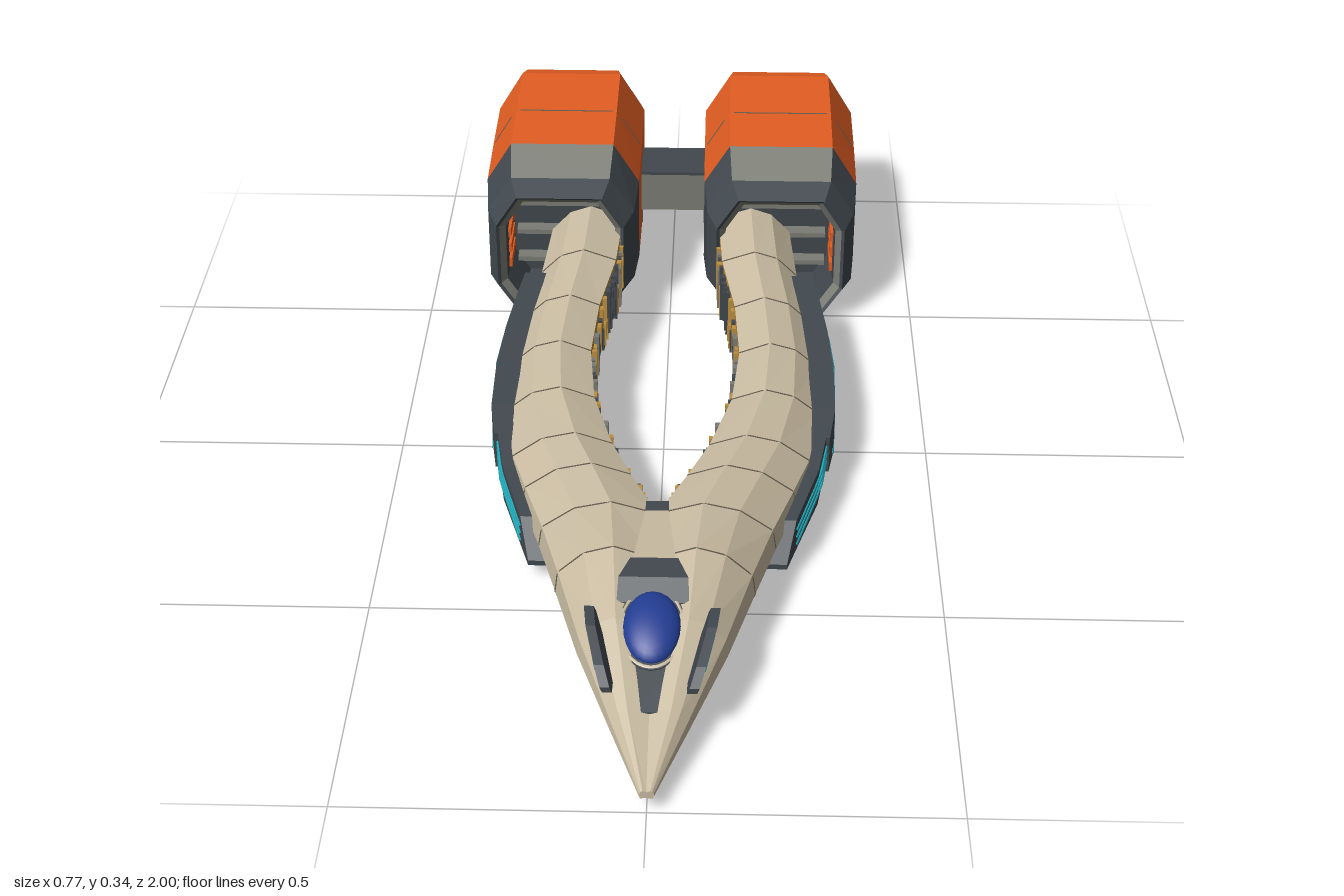
import * as THREE from 'three';

const mat = (name, color, extra = {}) => {
  const m = new THREE.MeshStandardMaterial({ color, ...extra });
  m.name = name;
  return m;
};

// Skin closed cross-sections, listed front to back and anticlockwise seen from +z.
function loft(sections, pick = () => 0) {
  const buckets = [];
  const tri = (k, ...pts) => (buckets[k] ??= []).push(...pts.flat());
  const n = sections[0].length;
  for (let s = 0; s < sections.length - 1; s++) {
    for (let j = 0; j < n; j++) {
      const k = pick(s, j), q = (j + 1) % n;
      const [a, b, c, d] = [sections[s][j], sections[s][q], sections[s + 1][j], sections[s + 1][q]];
      tri(k, a, c, b);
      tri(k, b, c, d);
    }
  }
  const first = sections[0], last = sections[sections.length - 1];
  for (let j = 1; j < n - 1; j++) {
    tri(0, first[0], first[j], first[j + 1]);
    tri(0, last[0], last[j + 1], last[j]);
  }
  const geo = new THREE.BufferGeometry(), all = [];
  buckets.forEach((list, k) => {
    geo.addGroup(all.length / 3, list.length / 3, k);
    for (const v of list) all.push(v);
  });
  geo.setAttribute('position', new THREE.Float32BufferAttribute(all, 3));
  geo.computeVertexNormals();
  return geo;
}

// Mirror across x = 0, turning every triangle so that it still faces outward.
function mirrored(geo) {
  const g = geo.index ? geo.toNonIndexed() : geo.clone();
  g.scale(-1, 1, 1);
  for (const a of Object.values(g.attributes)) {
    for (let i = 0; i < a.count; i += 3) {
      for (let c = 0; c < a.itemSize; c++) {
        const t = a.getComponent(i + 1, c);
        a.setComponent(i + 1, c, a.getComponent(i + 2, c));
        a.setComponent(i + 2, c, t);
      }
    }
  }
  return g;
}

const rect = (z, x0, x1, y0, y1) => [[x0, y0, z], [x1, y0, z], [x1, y1, z], [x0, y1, z]];
const box = (w, h, d, x, y, z) => new THREE.BoxGeometry(w, h, d).translate(x, y, z);

// Hull stations: z, inner x, ridge x, outer x, bottom y, top y
const STATIONS = [
  [1, 0, 0.006, 0.012, 0.03, 0.045], [0.86, 0, 0.035, 0.065, 0.03, 0.09],
  [0.7, 0, 0.06, 0.125, 0.03, 0.147], [0.55, 0, 0.07, 0.17, 0.03, 0.18],
  [0.42, 0, 0.08, 0.207, 0.03, 0.178], [0.3, 0.05, 0.12, 0.245, 0.03, 0.175],
  [0.2, 0.088, 0.155, 0.275, 0.03, 0.172], [0.05, 0.128, 0.19, 0.297, 0.032, 0.172],
  [-0.1, 0.142, 0.2, 0.298, 0.04, 0.18], [-0.25, 0.133, 0.19, 0.285, 0.05, 0.192],
  [-0.4, 0.107, 0.172, 0.262, 0.065, 0.208], [-0.56, 0.098, 0.165, 0.25, 0.075, 0.22],
];
function station(z) {
  let i = 0;
  while (i < STATIONS.length - 2 && STATIONS[i + 1][0] > z) i++;
  const a = STATIONS[i], b = STATIONS[i + 1], t = (a[0] - z) / (a[0] - b[0]);
  return a.map((v, k) => v + (b[k] - v) * t);
}
function hullSection([z, xi, xr, xo, yb, yt]) {
  const w = xo - xi, h = yt - yb;
  return [[xi, yb + 0.04 * h, z], [xo - 0.18 * w, yb, z], [xo, yb + 0.34 * h, z],
    [xo - 0.03 * w, yb + 0.62 * h, z], [xr + (xo - xr) * 0.5, yb + 0.9 * h, z],
    [xr, yt, z], [xi, yb + 0.84 * h, z]];
}

// Eight-sided engine section around x = 0.225
function octagon(z, w, y0, y1) {
  const h = y1 - y0, lo = y0 + 0.22 * h, hi = y1 - 0.25 * h;
  return [[-0.71, y0], [0.71, y0], [1, lo], [1, hi], [0.67, y1], [-0.67, y1], [-1, hi], [-1, lo]]
    .map(([k, y]) => [0.225 + k * w, y, z]);
}

export function createModel() {
  const root = new THREE.Group();
  const cream = mat('hull cream', 0xc9bca2), dark = mat('dark slate', 0x41484e);
  const grey = mat('trim grey', 0x7b7c74), orange = mat('engine orange', 0xe25d22);
  const cyan = mat('glow cyan', 0x22b4c4), blue = mat('canopy blue', 0x223c92);
  const gold = mat('machinery gold', 0xbd8f40), seam = mat('seam brown', 0x6b6253);

  const add = (name, geo, m) => {
    const mesh = new THREE.Mesh(geo, m);
    mesh.name = name;
    root.add(mesh);
    return mesh;
  };
  const pair = (name, geo, m) => {
    add(name + 'Left', geo, m);
    add(name + 'Right', mirrored(geo), m);
  };
  const tube = (pts, r) => {
    const path = new THREE.CurvePath();
    const v = pts.map((p) => new THREE.Vector3(...p));
    for (let i = 1; i < v.length; i++) path.add(new THREE.LineCurve3(v[i - 1], v[i]));
    return new THREE.TubeGeometry(path, 24, r, 4);
  };

  // Hull arms joined at the nose, with machinery walls inside and a dark nose underside
  pair('hullArm', loft(STATIONS.map(hullSection), (s, j) =>
    (j === 6 && s >= 4 ? 1 : j === 0 && s < 4 ? 2 : 0)), [cream, gold, dark]);

  // Panel seams
  for (const z of [0.55, 0.42, 0.3, 0.2, 0.05, -0.1, -0.25, -0.4]) {
    pair('hullSeam', tube(hullSection(station(z)).slice(1), 0.0016), seam);
  }

  // Exposed machinery along the inner walls
  let seed = 7;
  const rand = () => (seed = (seed * 16807) % 2147483647) / 2147483647;
  for (let i = 0; i < 64; i++) {
    const z = 0.385 - i * 0.0136, [, xi, , , yb, yt] = station(z), h = yt - yb;
    const tall = h * (0.3 + 0.4 * rand());
    const y = yb + 0.07 * h + tall / 2 + rand() * (0.74 * h - tall);
    const r = rand();
    pair('innerMachinery', box(0.012 + 0.008 * rand(), tall, 0.008 + 0.008 * rand(), xi, y, z),
      r < 0.45 ? gold : r < 0.85 ? dark : grey);
  }

  // Outer armour plates with glowing lines: each row is z, low y, high y
  const armour = (name, rows, out) => pair(name, loft(rows.map(([z, y0, y1]) => {
    const x = station(z)[3];
    return rect(z, x - 0.025, x + out, y0, y1);
  })), dark);
  const glow = (rows, out) =>
    pair('armourGlow', tube(rows.map(([z, y]) => [station(z)[3] + out, y, z]), 0.003), cyan);
  armour('frontArmour', [[0.41, 0.03, 0.04], [0.36, 0.033, 0.1], [0.22, 0.035, 0.112], [0.1, 0.05, 0.125]], 0.018);
  for (const y of [0.058, 0.074, 0.09]) {
    glow([[0.36, y - 0.012], [0.24, y], [0.2, y + 0.008], [0.1, y + 0.012]], 0.018);
  }
  armour('rearArmour', [[0.13, 0.045, 0.12], [0.05, 0.034, 0.13], [-0.08, 0.038, 0.142],
    [-0.2, 0.052, 0.15], [-0.32, 0.088, 0.16], [-0.38, 0.145, 0.165]], 0.024);
  glow([[0.07, 0.045], [0, 0.085], [-0.1, 0.128], [-0.19, 0.138], [-0.25, 0.118], [-0.36, 0.128]], 0.024);

  // Small lozenges beneath the arms
  pair('bellyLozenge', loft([rect(0.38, 0.14, 0.15, 0.024, 0.034), rect(0.33, 0.13, 0.17, 0.024, 0.034),
    rect(0.25, 0.15, 0.19, 0.024, 0.034), rect(0.2, 0.175, 0.185, 0.024, 0.034)]), dark);
  pair('bellyGlow', tube([[0.15, 0.024, 0.35], [0.175, 0.024, 0.23]], 0.003), cyan);

  // Canopy, bezel and surround
  const tilt = (geo) => geo.rotateX(0.32).translate(0, 0.135, 0.71);
  add('canopy', tilt(new THREE.SphereGeometry(1, 24, 16).scale(0.048, 0.026, 0.07)), blue);
  add('canopyBezel', tilt(new THREE.CylinderGeometry(1, 1.1, 0.03, 20).scale(0.056, 1, 0.082).translate(0, -0.013, 0)), dark);
  add('canopyRing', tilt(new THREE.TorusGeometry(1, 0.06, 6, 28).rotateX(Math.PI / 2).scale(0.052, 0.06, 0.076)), cream);
  add('canopyHood', loft([rect(0.665, -0.06, 0.06, 0.12, 0.152), rect(0.63, -0.058, 0.058, 0.12, 0.178),
    rect(0.58, -0.04, 0.04, 0.12, 0.18)]), dark);
  add('noseGrille', loft([rect(0.86, -0.022, 0.022, 0.06, 0.084), rect(0.78, -0.036, 0.036, 0.07, 0.112)]), dark);
  add('spineCover', loft([rect(0.58, -0.036, 0.036, 0.13, 0.178), rect(0.43, -0.02, 0.02, 0.12, 0.168)]), cream);
  add('spineEnd', box(0.04, 0.11, 0.04, 0, 0.108, 0.415), dark);

  // Small glowing fins beside the canopy
  pair('noseFin', loft([[0.84, 0.07, 0.112, 0.005], [0.81, 0.075, 0.12, 0.018],
    [0.74, 0.09, 0.14, 0.022], [0.69, 0.102, 0.158, 0.005]].map(([z, x, y, r]) =>
    [[x - 0.4 * r - 0.008, y - r, z], [x - 0.4 * r + 0.008, y - r, z],
      [x + 0.4 * r + 0.008, y + r, z], [x + 0.4 * r - 0.008, y + r, z]])), dark);
  for (const d of [-0.008, 0.008]) {
    pair('noseFinGlow', tube([[0.083 + d * 0.4, 0.12 + d, 0.81], [0.098 + d * 0.4, 0.14 + d, 0.74]], 0.003), cyan);
  }

  // Engine shells: hollow intake, grey lip, orange cowling, grey exhaust frame
  const shell = [[-0.62, 0.105, 0.035, 0.255], [-0.5, 0.112, 0.03, 0.262], [-0.485, 0.124, 0.022, 0.275],
    [-0.48, 0.13, 0.018, 0.28], [-0.53, 0.15, 0.008, 0.3], [-0.61, 0.157, 0.003, 0.337],
    [-0.755, 0.158, 0.001, 0.341], [-0.93, 0.158, 0, 0.343], [-0.98, 0.148, 0.006, 0.328],
    [-0.993, 0.125, 0.02, 0.3], [-1, 0.108, 0.035, 0.285], [-0.998, 0.084, 0.06, 0.26], [-0.975, 0.082, 0.062, 0.258]];
  pair('engine', loft(shell.map((p) => octagon(...p)), (s, j) => {
    if (s === 1 || s === 9 || s === 10 || (s === 4 && j === 4)) return 1;
    return s >= 5 && s <= 7 && j >= 2 && j <= 6 ? 2 : 0;
  }), [dark, grey, orange]);
  pair('cowlingSeam', tube([...octagon(-0.755, 0.158, 0.001, 0.341).slice(2, 8)], 0.0016), seam);

  // Intake bars, side louvres and exhaust slats
  for (const y of [0.09, 0.155, 0.222]) {
    pair('intakeBar', box(0.19, 0.01, 0.03, 0.225, y, -0.58), grey);
  }
  for (const y of [0.11, 0.145, 0.18]) {
    pair('intakeLouvre', box(0.006, 0.02, 0.09, 0.331, y, -0.56), orange);
  }
  for (let i = 0; i < 5; i++) {
    const y = 0.1 + i * 0.03;
    pair('exhaustSlat', box(0.13, 0.012, 0.014, 0.225, y, -0.979), grey);
    pair('exhaustGlow', box(0.12, 0.005, 0.004, 0.225, y, -0.987), cyan);
  }

  // Beam joining the engines
  add('engineBeam', box(0.2, 0.085, 0.112, 0, 0.16, -0.792), grey);
  add('engineBeamTop', box(0.2, 0.006, 0.114, 0, 0.205, -0.792), dark);
  return root;
}
